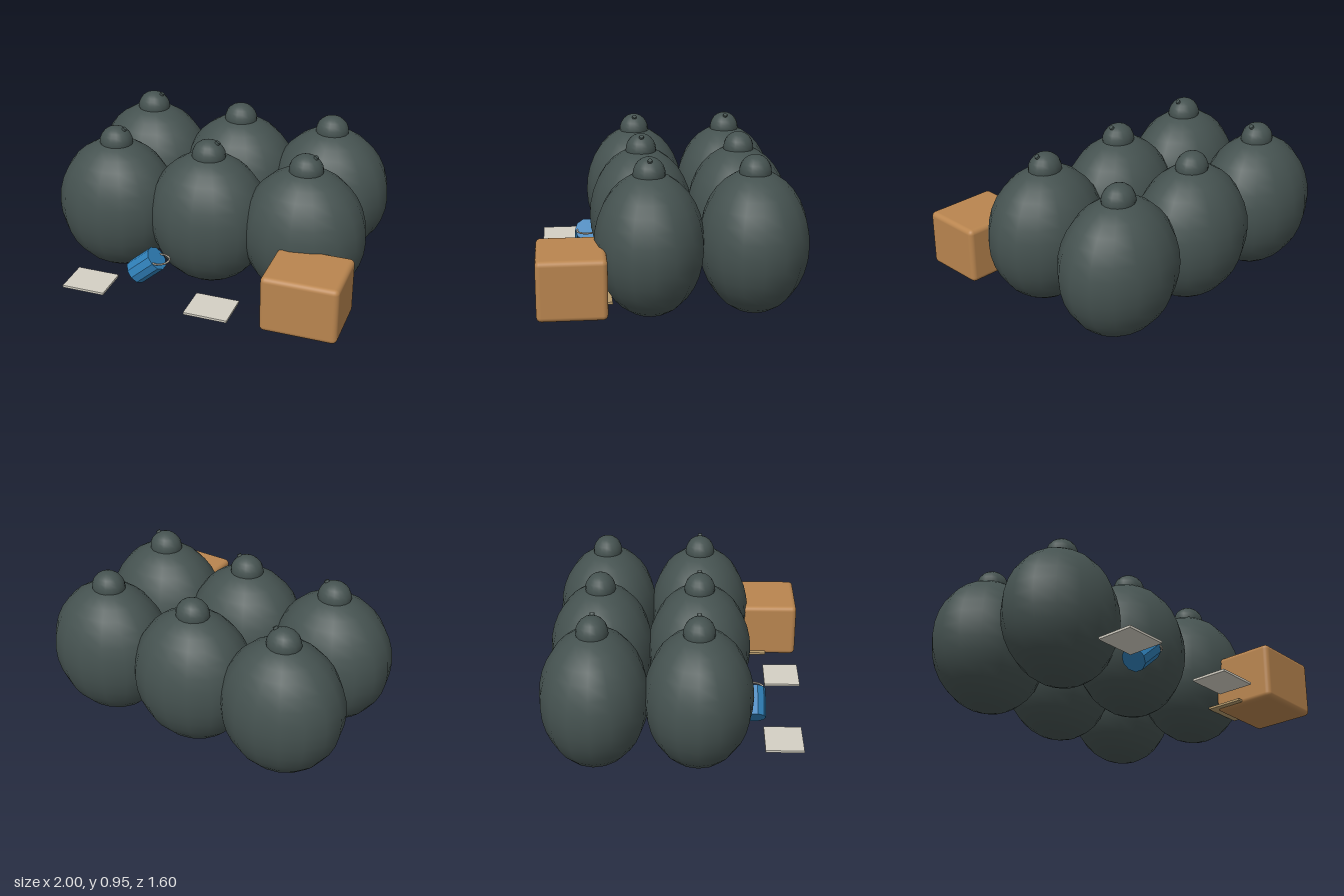
import * as THREE from 'three';
import { RoundedBoxGeometry } from 'three/addons/geometries/RoundedBoxGeometry.js';

const mat = (color, flatShading = false) => new THREE.MeshStandardMaterial({ color, flatShading });

export function createModel() {
  const model = new THREE.Group();
  const bagMat = mat(0x455250);
  const paperMat = mat(0xd4d0c4);
  const tanMat = mat(0xb59a6c);

  const add = (name, geometry, material, x, y, z, parent = model) => {
    const mesh = new THREE.Mesh(geometry, material);
    mesh.name = name;
    mesh.position.set(x, y, z);
    parent.add(mesh);
    return mesh;
  };

  // Six full sacks in two rows, each gathered into a round neck
  const bodyGeo = new THREE.SphereGeometry(1, 16, 16).scale(0.385, 0.43, 0.325);
  const neckGeo = new THREE.SphereGeometry(1, 16, 12).scale(0.106, 0.1, 0.095);
  const tieGeo = new THREE.CylinderGeometry(0.014, 0.018, 0.06, 8);
  for (const z of [-0.475, 0.14]) {
    for (const x of [-0.615, 0, 0.615]) {
      const bag = new THREE.Group();
      bag.name = 'bag';
      bag.position.set(x, 0, z);
      add('bagBody', bodyGeo, bagMat, 0, 0.43, 0, bag);
      add('bagNeck', neckGeo, bagMat, 0, 0.85, 0, bag);
      // Loose tied end, on the front row and the rear right sack
      if (z > 0 || x < 0) {
        add('bagTie', tieGeo, bagMat, 0.045, 0.92, 0, bag).rotation.z = -0.6;
      }
      model.add(bag);
    }
  }

  // Cardboard box with soft edges
  add('box', new RoundedBoxGeometry(0.46, 0.355, 0.4, 3, 0.03), mat(0xb9854f), 0.77, 0.288, 0.6);

  // Flat sheets lying in front, the last one tucked under the box
  const sheetGeo = new THREE.BoxGeometry(0.27, 0.014, 0.23);
  add('sheet', sheetGeo, paperMat, -0.588, 0.127, 0.653);
  add('sheet', sheetGeo, paperMat, 0.212, 0.127, 0.685);
  add('cardSheet', sheetGeo, tanMat, 0.643, 0.131, 0.48);

  // Tipped can with a thin ring at its upper end
  const can = add('can', new THREE.CylinderGeometry(0.078, 0.078, 0.19, 10), mat(0x2f7fb8, true), -0.288, 0.204, 0.48);
  can.rotation.z = -0.85;
  add('canRing', new THREE.TorusGeometry(0.063, 0.006, 6, 20), mat(0xb8aea0), -0.2, 0.264, 0.483).rotation.x = Math.PI / 2;

  return model;
}
